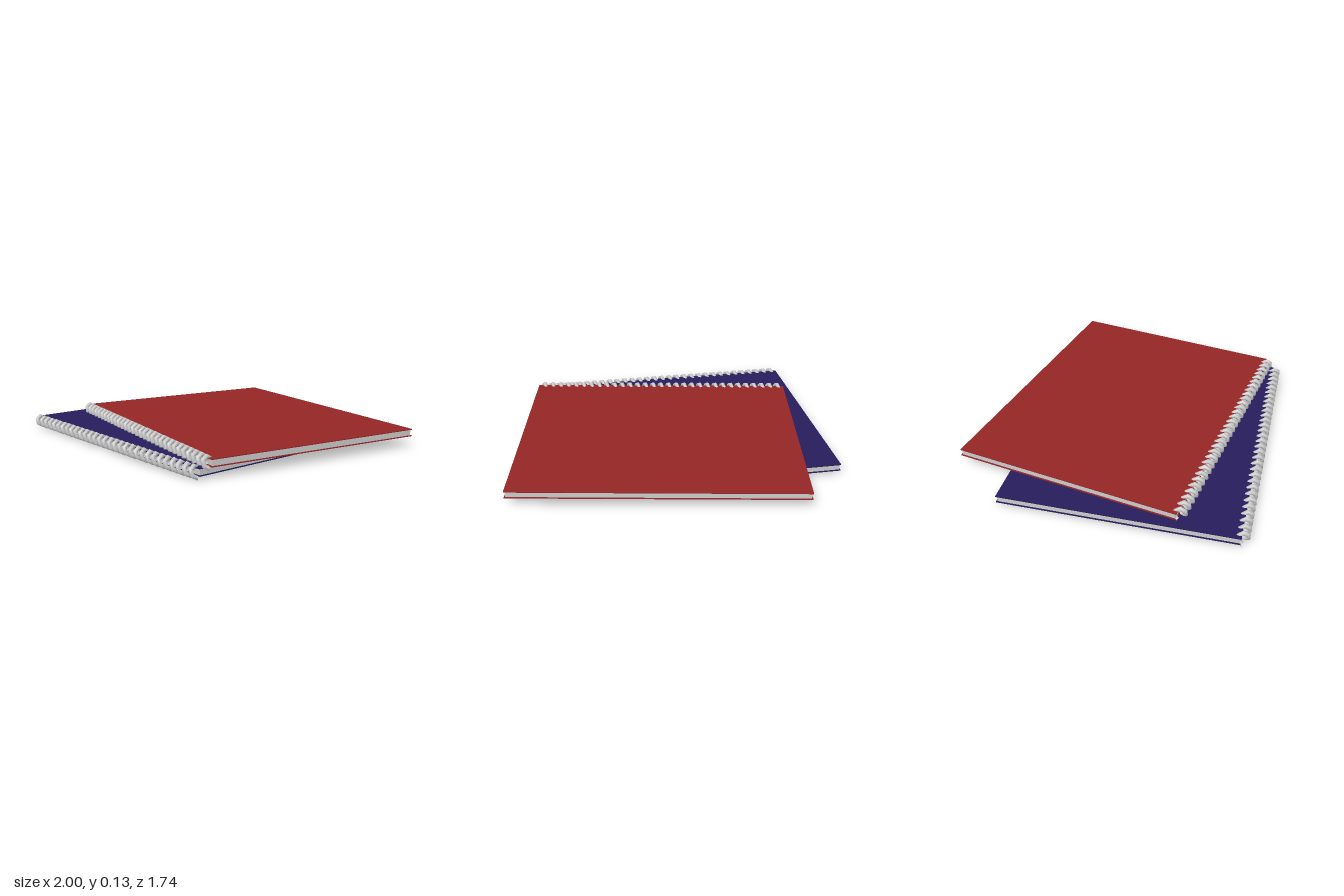
import * as THREE from 'three';

const WIDTH = 1.735, DEPTH = 1.365, HALF_THICK = 0.022, COVER = 0.005;
const TURNS = 31, SIDES = 6;

// Six-sided spiral running along x, starting at the bottom and rising behind
class Spiral extends THREE.Curve {
  getPoint(t, target = new THREE.Vector3()) {
    const a = Math.PI + t * TURNS * Math.PI * 2;
    return target.set((t - 0.5) * 1.708, 0.029 * Math.cos(a), -0.029 * -Math.sin(a));
  }
}

function box(name, w, h, d, y, material) {
  const mesh = new THREE.Mesh(new THREE.BoxGeometry(w, h, d), material);
  mesh.name = name;
  mesh.position.y = y;
  return mesh;
}

function notebook(name, color) {
  const book = new THREE.Group();
  book.name = name;
  const coverMat = new THREE.MeshStandardMaterial({ color });
  const grey = new THREE.MeshStandardMaterial({ color: 0xcccccc });
  const wireMat = new THREE.MeshStandardMaterial({ color: 0xcccccc, side: THREE.DoubleSide });

  // covers and the slightly smaller page block between them
  const y = HALF_THICK - COVER / 2;
  book.add(box('frontCover', WIDTH, COVER, DEPTH, y, coverMat));
  book.add(box('backCover', WIDTH, COVER, DEPTH, -y, coverMat));
  book.add(box('pages', WIDTH - 0.014, 2 * (HALF_THICK - COVER), DEPTH - 0.014, 0, grey));

  // wire binding wrapped around the front edge
  const path = new Spiral();
  path.arcLengthDivisions = TURNS * SIDES * 4;
  const wire = new THREE.Mesh(new THREE.TubeGeometry(path, TURNS * SIDES, 0.0135, 8), wireMat);
  wire.name = 'spiralBinding';
  wire.position.z = 0.69;
  book.add(wire);
  return book;
}

export function createModel() {
  const model = new THREE.Group();
  model.name = 'notebooks';

  const lower = notebook('lowerNotebook', 0x261c5c);
  lower.position.set(-0.1325, 0.0428, 0.1475);

  // the upper notebook lies turned on top of the lower one
  const upper = notebook('upperNotebook', 0x962626);
  upper.position.set(0.0275, 0.0875, -0.0475);
  upper.rotation.y = -THREE.MathUtils.degToRad(10);

  model.add(lower, upper);
  return model;
}
